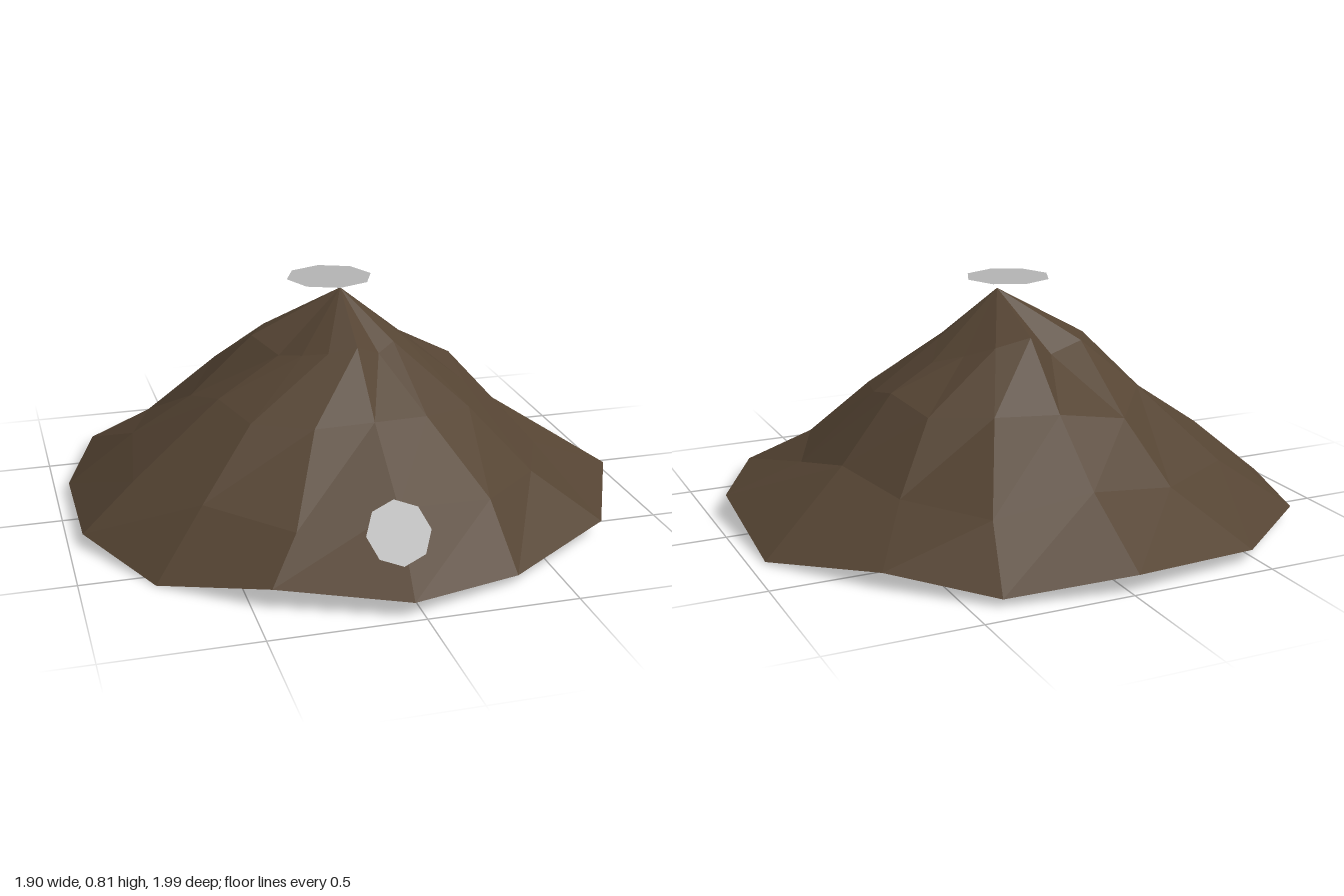
import * as THREE from 'three';

const SIDES = 14;

// Rings from top to bottom: a radius and a height for each of the 14 directions,
// starting at the front and turning towards +x.
const rings = [
  {
    r: [0.22, 0.2, 0.2, 0.21, 0.28, 0.25, 0.27, 0.27, 0.24, 0.3, 0.31, 0.24, 0.22, 0.22],
    y: [0.62, 0.58, 0.6, 0.6, 0.545, 0.58, 0.62, 0.65, 0.57, 0.6, 0.6, 0.56, 0.58, 0.6],
  },
  {
    r: [0.43, 0.44, 0.48, 0.44, 0.45, 0.5, 0.48, 0.49, 0.55, 0.5, 0.53, 0.47, 0.5, 0.46],
    y: [0.43, 0.42, 0.4, 0.42, 0.465, 0.43, 0.44, 0.44, 0.4, 0.45, 0.38, 0.44, 0.42, 0.42],
  },
  {
    r: [0.7, 0.74, 0.71, 0.7, 0.65, 0.69, 0.78, 0.73, 0.74, 0.79, 0.74, 0.79, 0.75, 0.76],
    y: [0.24, 0.22, 0.2, 0.18, 0.25, 0.21, 0.2, 0.25, 0.2, 0.2, 0.24, 0.2, 0.22, 0.19],
  },
  {
    r: [0.99, 0.926, 0.966, 0.966, 0.987, 0.93, 0.994, 1, 1.042, 1.043, 0.981, 0.977, 0.948, 0.931],
    y: [0.06, 0.035, 0.065, 0.085, 0.01, 0.06, 0.03, 0.07, 0.05, 0.05, 0.04, 0.05, 0.005, 0.075],
    // small turns of the rim corners, in degrees
    turn: [-2.1, -3.5, -0.9, 1.5, 3.6, 4.5, 2, 0.9, 1.1, 0.4, -1.2, 0.3, -1.9, -2.5],
  },
];

// Rugged cone with an apex, jagged rings and a closed underside
function moundGeometry() {
  const pos = [0, 0.77, 0];
  const index = [];
  for (const { r, y, turn } of rings) {
    for (let i = 0; i < SIDES; i++) {
      const a = (i / SIDES) * Math.PI * 2 + THREE.MathUtils.degToRad(turn ? turn[i] : 0);
      pos.push(Math.sin(a) * r[i], y[i], Math.cos(a) * r[i]);
    }
  }
  pos.push(0, 0.02, 0);
  const bottom = pos.length / 3 - 1;
  const at = (ring, i) => 1 + ring * SIDES + (i % SIDES);
  const last = rings.length - 1;
  for (let i = 0; i < SIDES; i++) {
    index.push(0, at(0, i), at(0, i + 1));
    for (let k = 0; k < last; k++) {
      const a = at(k, i), b = at(k + 1, i), c = at(k + 1, i + 1), d = at(k, i + 1);
      index.push(a, b, d, b, c, d);
    }
    index.push(bottom, at(last, i + 1), at(last, i));
  }
  const g = new THREE.BufferGeometry();
  g.setAttribute('position', new THREE.Float32BufferAttribute(pos, 3));
  g.setIndex(index);
  g.computeVertexNormals();
  return g;
}

export function createModel() {
  const earth = new THREE.MeshStandardMaterial({ color: 0x554433, flatShading: true });
  earth.name = 'brown earth';
  const grey = new THREE.MeshStandardMaterial({ color: 0xb4b4b4, side: THREE.DoubleSide });
  grey.name = 'light grey';

  const group = new THREE.Group();
  group.name = 'mound';

  const add = (name, geometry, material, x = 0, y = 0, z = 0, tilt = 0) => {
    const mesh = new THREE.Mesh(geometry, material);
    mesh.name = name;
    mesh.position.set(x, y, z);
    mesh.rotation.x = THREE.MathUtils.degToRad(tilt);
    group.add(mesh);
  };

  add('hill', moundGeometry(), earth);
  // Flat disc hovering over the peak, and a tilted one low on the front slope
  add('peakDisc', new THREE.CircleGeometry(0.15, 8), grey, -0.037, 0.81, -0.01, -90);
  add('frontDisc', new THREE.CircleGeometry(0.106, 8), grey, -0.037, 0.215, 0.82, -35);

  return group;
}
